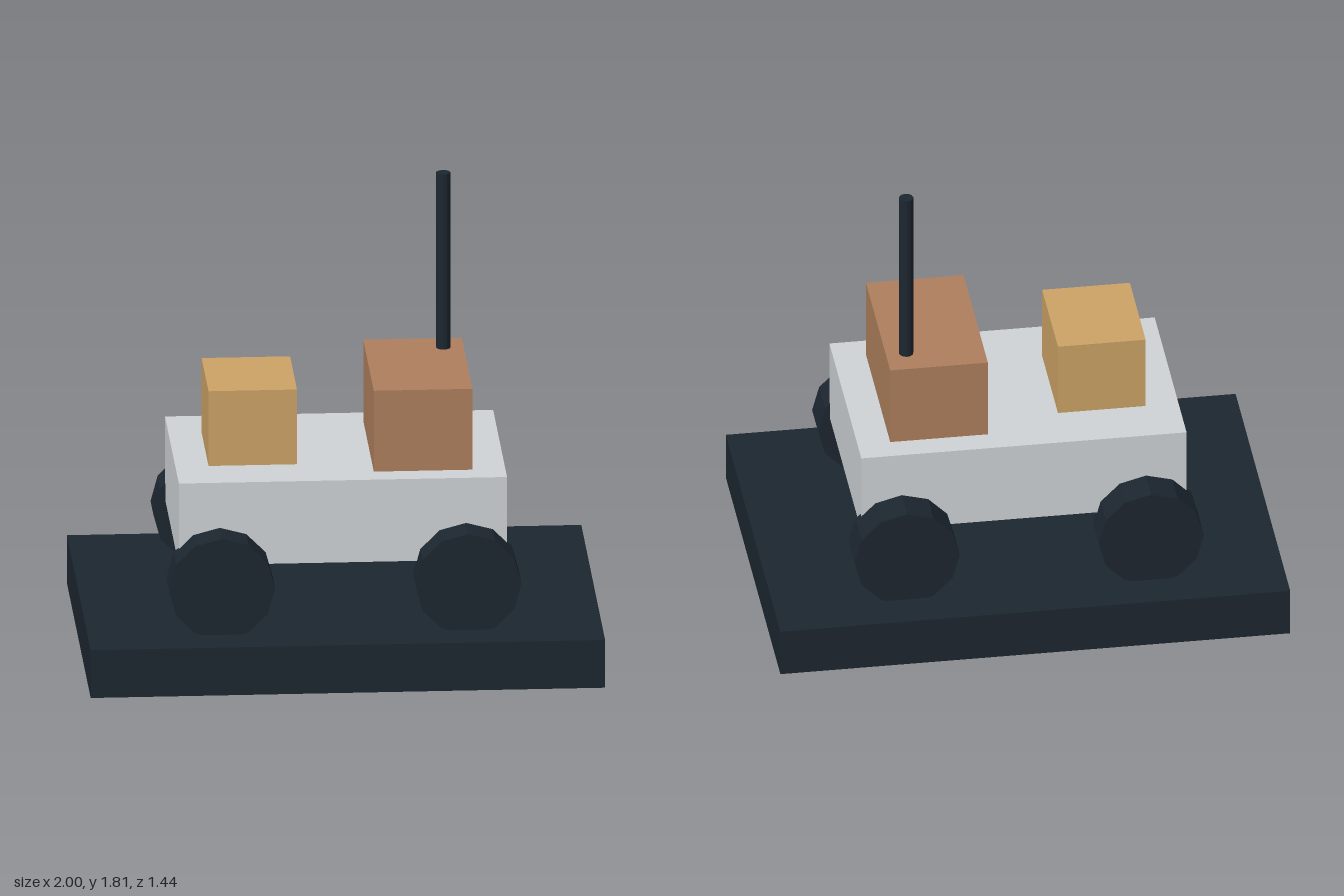
import * as THREE from 'three';

const paint = (color) => new THREE.MeshStandardMaterial({ color, flatShading: true });

export function createModel() {
  const model = new THREE.Group();
  const dark = paint(0x1c2630);

  const add = (name, geometry, material, x, y, z) => {
    const mesh = new THREE.Mesh(geometry, material);
    mesh.name = name;
    mesh.position.set(x, y, z);
    model.add(mesh);
    return mesh;
  };
  // Box standing on height y
  const box = (name, w, h, d, material, x, y, z) =>
    add(name, new THREE.BoxGeometry(w, h, d), material, x, y + h / 2, z);

  // Display base
  box('base', 2, 0.195, 1.436, dark, 0, 0, 0);

  // Vehicle body and the two blocks on its deck
  box('body', 1.276, 0.335, 0.838, paint(0xcfd3d6), 0, 0.435, 0);
  box('smallCargoBox', 0.344, 0.305, 0.415, paint(0xcda366), -0.337, 0.77, 0);
  box('largeEquipmentBox', 0.383, 0.33, 0.638, paint(0xae7f5c), 0.318, 0.77, 0);

  // Mast on the larger block
  add('mast', new THREE.CylinderGeometry(0.028, 0.028, 0.715, 12), dark, 0.43, 1.4575, -0.204);

  // Four twelve-sided wheels, sunk slightly into the base
  const wheel = new THREE.CylinderGeometry(0.206, 0.206, 0.16, 12).rotateX(Math.PI / 2);
  for (const [end, x] of [['Left', 0.479], ['Right', -0.479]]) {
    for (const [side, z] of [['front', 0.479], ['back', -0.479]]) {
      add(`${side}${end}Wheel`, wheel, dark, x, 0.38, z);
    }
  }
  return model;
}
